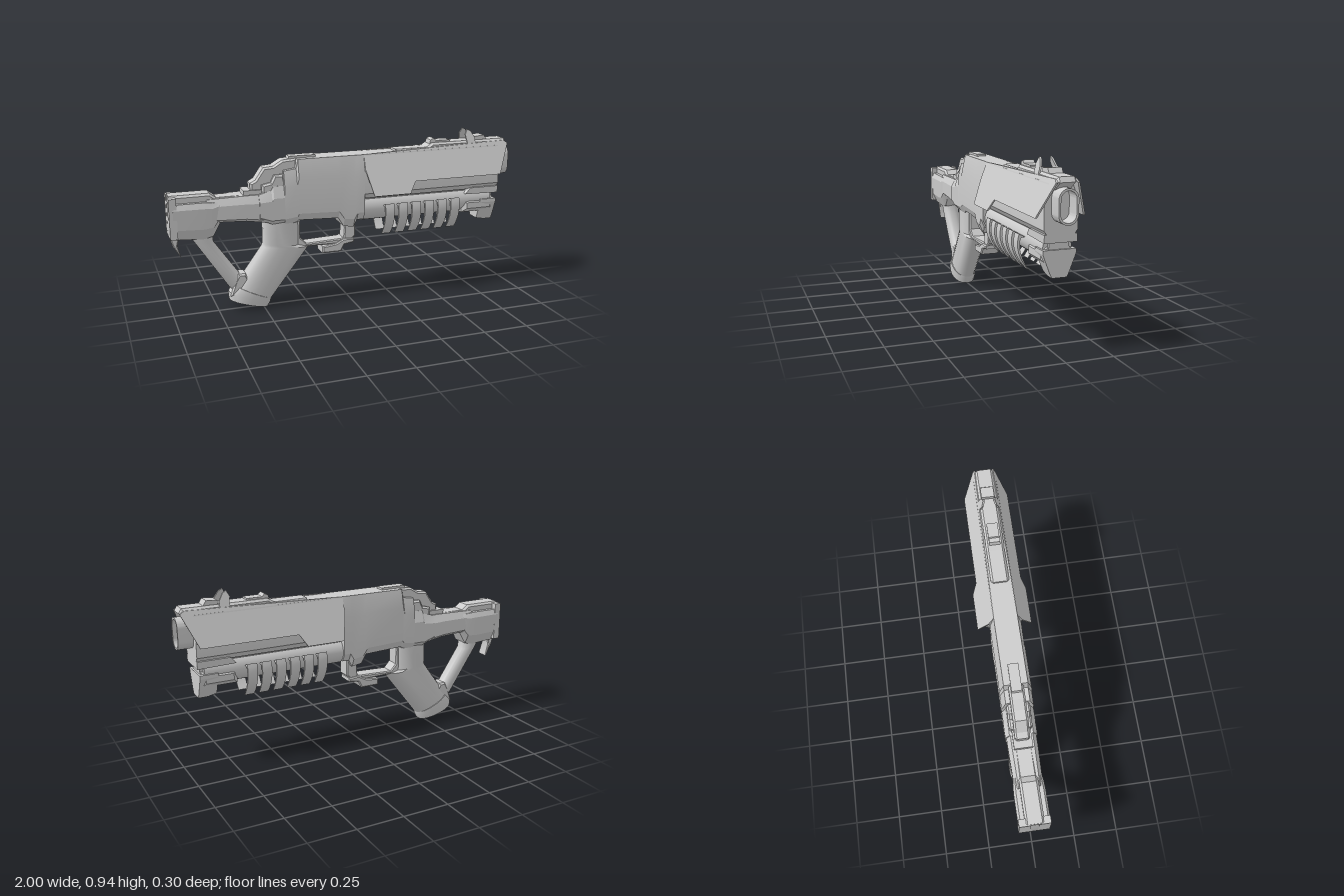
import * as THREE from 'three';
import { toCreasedNormals } from 'three/addons/utils/BufferGeometryUtils.js';

const material = new THREE.MeshStandardMaterial({ color: 0xcccccc, side: THREE.DoubleSide });

export function createModel() {
  const group = new THREE.Group();

  const add = (name, geo, crease = 0.6) => {
    const mesh = new THREE.Mesh(toCreasedNormals(geo, crease), material);
    mesh.name = name;
    group.add(mesh);
    return mesh;
  };

  const toShape = pts => new THREE.Shape(pts.map(p => new THREE.Vector2(p[0], p[1])));

  // Side outline (x, y) extruded to half-width w, with a chamfer b
  const plate = (pts, w, b = 0) => {
    const geo = new THREE.ExtrudeGeometry(toShape(pts), {
      depth: 2 * (w - b), bevelEnabled: b > 0, bevelSize: b, bevelOffset: -b, bevelThickness: b, bevelSegments: 1,
    });
    return geo.translate(0, 0, b - w);
  };

  // Cross-section (z, y) extruded along x
  const along = (shape, x0, x1) => new THREE.ExtrudeGeometry(shape, {
    depth: x1 - x0, bevelEnabled: false, curveSegments: 10,
  }).rotateY(Math.PI / 2).translate(x0, 0, 0);

  // Skin over sections [ax, ay, bx, by, halfWidth]; the profile [t, width factor] runs from a to b
  const loft = (sections, profile) => {
    const ring = [...profile.map(p => [p[0], p[1]]), ...profile.map(p => [p[0], -p[1]]).reverse()];
    const n = ring.length, pos = [], idx = [];
    for (const [ax, ay, bx, by, w] of sections)
      for (const [t, f] of ring) pos.push(ax + (bx - ax) * t, ay + (by - ay) * t, w * f);
    for (let s = 0; s < sections.length - 1; s++)
      for (let i = 0; i < n; i++) {
        const a = s * n + i, b = s * n + (i + 1) % n;
        idx.push(a, b, b + n, a, b + n, a + n);
      }
    const last = (sections.length - 1) * n;
    for (let i = 1; i < n - 1; i++) idx.push(0, i + 1, i, last, last + i, last + i + 1);
    // Turn the faces outward whichever way the sections run
    const v = idx.map(i => new THREE.Vector3().fromArray(pos, i * 3));
    let volume = 0;
    for (let i = 0; i < v.length; i += 3) volume += v[i].dot(v[i + 1].clone().cross(v[i + 2]));
    if (volume < 0) idx.reverse();
    const geo = new THREE.BufferGeometry();
    geo.setAttribute('position', new THREE.Float32BufferAttribute(pos, 3));
    geo.setIndex(idx);
    geo.computeVertexNormals();
    return geo;
  };

  const boxy = [[0, 0.75], [0.12, 1], [0.7, 1], [1, 0.74]];
  const round = Array.from({ length: 9 }, (_, i) => {
    const a = Math.PI * i / 8;
    return [(1 - Math.cos(a)) / 2, Math.max(0.25, Math.sin(a) ** 0.7)];
  });

  // Receiver, with its stepped rear and underside: [x, bottom, top]
  add('receiver', loft([
    [-0.52, 0.53, 0.67], [-0.45, 0.5, 0.69], [-0.44, 0.5, 0.71], [-0.381, 0.5, 0.71], [-0.38, 0.49, 0.79],
    [-0.31, 0.5, 0.8], [-0.3, 0.51, 0.85], [-0.07, 0.5, 0.85], [-0.04, 0.45, 0.85], [0.02, 0.44, 0.85],
    [0.04, 0.48, 0.85], [0.08, 0.48, 0.85], [0.081, 0.6, 0.85], [0.92, 0.6, 0.85],
  ].map(([x, lo, hi]) => [x, lo, x, hi, 0.086]), boxy), 0.3);

  // Flared side panels leaning out from the top edge
  for (const s of [1, -1]) {
    const geo = plate([[0.08, 0.85], [0.08, 0.77], [0.115, 0.627], [0.33, 0.627], [0.37, 0.69],
      [0.91, 0.69], [0.985, 0.86], [0.96, 0.875]], 0.005);
    const p = geo.attributes.position;
    for (let i = 0; i < p.count; i++) p.setZ(i, p.getZ(i) + s * (0.06 + (0.845 - p.getY(i)) * 0.4));
    add('sidePanel', geo);
  }

  // Top rail with its raised front half
  add('topRail', plate([[0.28, 0.84], [0.28, 0.862], [0.47, 0.862], [0.505, 0.885], [0.97, 0.885],
    [0.985, 0.86], [0.93, 0.82]], 0.05, 0.012), 0.3);
  add('railHump', plate([[0.49, 0.86], [0.5, 0.9], [0.52, 0.91], [0.535, 0.895], [0.62, 0.895], [0.62, 0.87]], 0.03));
  add('frontSightBase', plate([[0.78, 0.87], [0.78, 0.905], [0.84, 0.91], [0.86, 0.88]], 0.036));

  // Sight prongs leaning inward
  for (const s of [1, -1]) {
    const geo = plate([[0.725, 0.87], [0.715, 0.92], [0.73, 0.95], [0.75, 0.94], [0.775, 0.9], [0.775, 0.87]], 0.005);
    const p = geo.attributes.position;
    for (let i = 0; i < p.count; i++) p.setZ(i, p.getZ(i) + s * (0.052 - (p.getY(i) - 0.87) * 0.3));
    add('sightProng', geo);
  }

  // Rear hammer hump and top plate
  add('rearHump', plate([[-0.56, 0.66], [-0.56, 0.73], [-0.53, 0.745], [-0.485, 0.81], [-0.43, 0.815],
    [-0.38, 0.845], [-0.3, 0.85], [-0.3, 0.66]], 0.04, 0.01), 0.3);
  add('rearTopPlate', plate([[-0.35, 0.83], [-0.34, 0.862], [-0.19, 0.862], [-0.19, 0.84]], 0.028));
  add('rearSideStep', plate([[-0.5, 0.67], [-0.5, 0.72], [-0.45, 0.73], [-0.43, 0.77], [-0.38, 0.77], [-0.36, 0.67]], 0.062, 0.01), 0.3);

  // Hollow oval muzzle
  const oval = (Cls, r) => {
    const s = new Cls();
    s.absarc(0, 0.785, r, 0, Math.PI);
    s.absarc(0, 0.715, r, Math.PI, 2 * Math.PI);
    s.closePath();
    return s;
  };
  const muzzle = oval(THREE.Shape, 0.05);
  muzzle.holes.push(oval(THREE.Path, 0.039));
  add('muzzle', along(muzzle, 0.88, 1));

  // Lower tube and its front fittings
  add('lowerTube', new THREE.CylinderGeometry(0.075, 0.075, 0.8, 24).rotateZ(Math.PI / 2).translate(0.48, 0.535, 0));
  add('tubeBracket', new THREE.BoxGeometry(0.72, 0.06, 0.1).translate(0.45, 0.59, 0));
  add('tubeFrontCap', loft([[0.81, 0.41, 0.81, 0.535, 0.083], [0.86, 0.4, 0.86, 0.535, 0.085],
    [0.91, 0.4, 0.91, 0.535, 0.085]], [[0, 0.45], [0.2, 0.6], [0.85, 1], [1, 1]]), 0.3);
  add('tubeFrontCollar', plate([[0.7, 0.46], [0.7, 0.535], [0.73, 0.545], [0.9, 0.545], [0.9, 0.46]], 0.081, 0.025), 0.3);
  add('tubeHanger', plate([[0.71, 0.575], [0.74, 0.61], [0.92, 0.61], [0.92, 0.57]], 0.084));
  add('tubeFrontCore', new THREE.BoxGeometry(0.16, 0.08, 0.1).translate(0.82, 0.56, 0));

  // Six pairs of curved hand-guard ribs, tapering to points below
  for (let i = 0; i < 6; i++)
    for (const s of [1, -1]) {
      const rib = new THREE.Shape();
      rib.moveTo(0.07 * s, 0.55);
      rib.lineTo(0.103 * s, 0.565);
      rib.quadraticCurveTo(0.135 * s, 0.47, 0.045 * s, 0.375);
      rib.quadraticCurveTo(0.115 * s, 0.47, 0.094 * s, 0.545);
      rib.closePath();
      add('guardRib', along(rib, 0.197 + i * 0.0815, 0.252 + i * 0.0815));
    }

  // Trigger guard and its front foot
  add('triggerGuard', plate([[-0.31, 0.345], [-0.04, 0.34], [0.0, 0.345], [0.04, 0.38], [0.04, 0.48], [-0.04, 0.48],
    [-0.025, 0.43], [-0.03, 0.37], [-0.25, 0.362], [-0.285, 0.4], [-0.285, 0.5], [-0.31, 0.5]], 0.042, 0.006));
  add('guardFoot', plate([[-0.16, 0.297], [-0.16, 0.335], [-0.08, 0.345], [-0.03, 0.37], [0.03, 0.365],
    [0.03, 0.345], [-0.03, 0.335], [-0.05, 0.297]], 0.054, 0.006));

  // Grip with a slanted end cap
  add('grip', loft([[-0.49, 0.53, -0.285, 0.53, 0.07], [-0.49, 0.38, -0.285, 0.36, 0.07],
    [-0.495, 0.365, -0.23, 0.345, 0.07], [-0.66, 0.14, -0.465, 0.045, 0.067]], round));
  add('gripCap', loft([[-0.655, 0.155, -0.455, 0.06, 0.072], [-0.69, 0.12, -0.46, 0.04, 0.073],
    [-0.69, 0.075, -0.475, 0.012, 0.068]], round));

  // Strut from the grip to the stock
  add('stockStrut', loft([[-0.9, 0.48, -0.77, 0.48, 0.05], [-0.87, 0.43, -0.765, 0.42, 0.05],
    [-0.69, 0.15, -0.625, 0.215, 0.045], [-0.65, 0.11, -0.59, 0.2, 0.045]], round));
  add('strutWeb', plate([[-0.69, 0.1], [-0.66, 0.19], [-0.64, 0.225], [-0.6, 0.225], [-0.55, 0.1]], 0.045, 0.01), 0.3);

  // Stock: neck, butt block, top ridge, back plate and claw
  add('stockNeck', loft([[-0.8, 0.54, -0.8, 0.665, 0.075], [-0.59, 0.53, -0.59, 0.67, 0.08],
    [-0.47, 0.51, -0.47, 0.67, 0.08]], boxy), 0.3);
  add('stockNeckTop', new THREE.BoxGeometry(0.22, 0.03, 0.1).translate(-0.49, 0.68, 0));
  add('stockBlock', loft([[-0.98, 0.46, -0.98, 0.655, 0.085], [-0.82, 0.45, -0.82, 0.655, 0.085],
    [-0.77, 0.46, -0.77, 0.65, 0.082], [-0.73, 0.53, -0.73, 0.65, 0.075]],
  [[0, 0.6], [0.3, 0.95], [0.85, 1], [1, 0.85]]), 0.3);
  add('stockRidge', plate([[-0.995, 0.64], [-0.995, 0.697], [-0.78, 0.697], [-0.745, 0.67], [-0.6, 0.67], [-0.6, 0.64]], 0.05, 0.012), 0.3);
  for (const s of [1, -1])
    add('buttPlate', new THREE.BoxGeometry(0.04, 0.22, 0.062).translate(-0.98, 0.58, s * 0.052));
  add('buttClaw', plate([[-0.998, 0.69], [-1, 0.47], [-0.985, 0.42], [-0.943, 0.35], [-0.96, 0.42],
    [-0.95, 0.46], [-0.95, 0.69]], 0.035, 0.006));

  return group;
}
